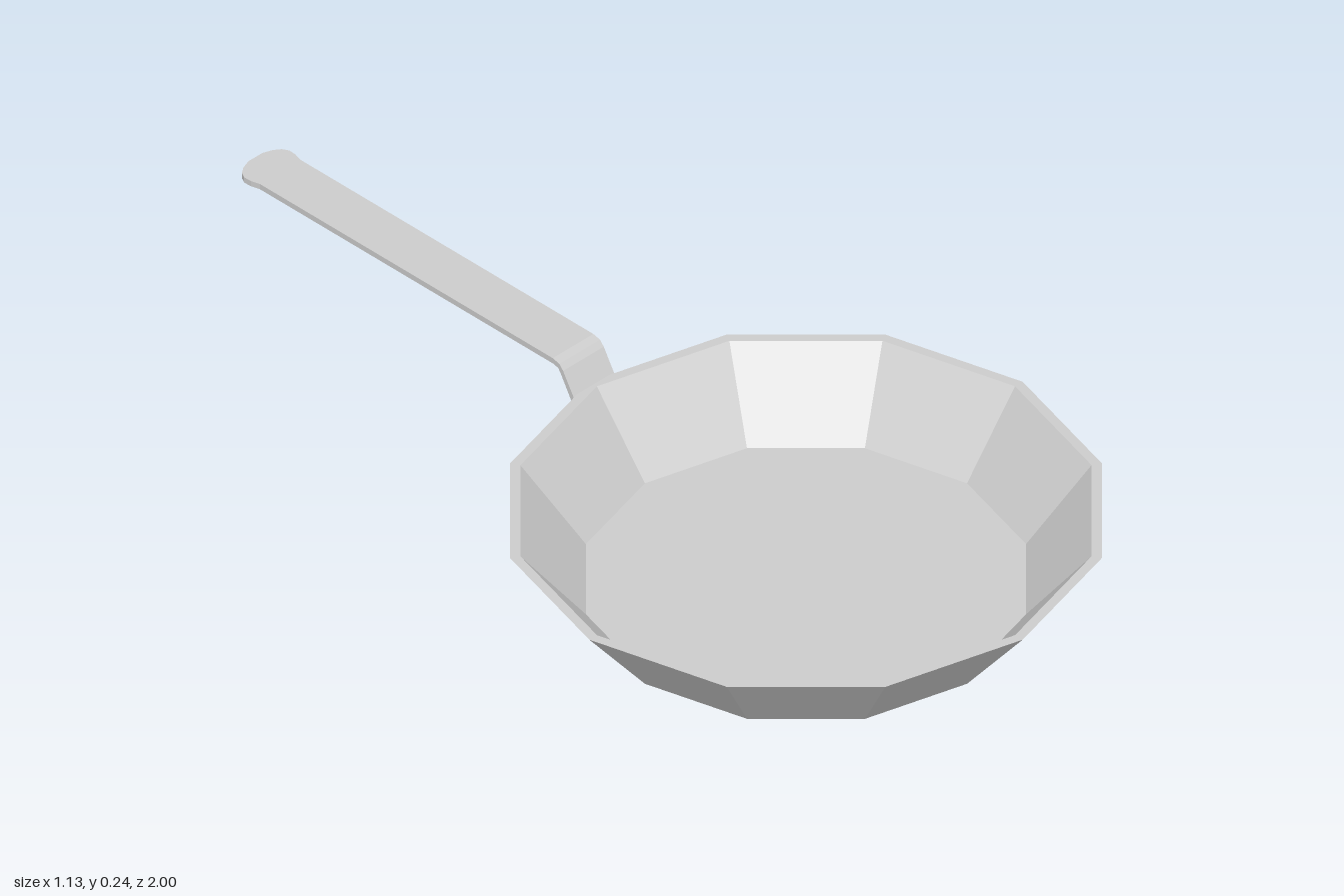
import * as THREE from 'three';

const steel = new THREE.MeshStandardMaterial({ color: 0xcccccc, flatShading: true });
steel.name = 'light steel';

const HALF_WIDTH = 0.053;
const HANDLE_TOP = 0.237;
const THICKNESS = 0.012;
const END_START = 0.935;

function part(name, geometry) {
  const mesh = new THREE.Mesh(geometry, steel);
  mesh.name = name;
  return mesh;
}

function extrude(points, depth) {
  const shape = new THREE.Shape(points.map(([x, y]) => new THREE.Vector2(x, y)));
  return new THREE.ExtrudeGeometry(shape, { depth, bevelEnabled: false });
}

export function createModel() {
  const group = new THREE.Group();
  group.name = 'fryingPan';

  // Twelve-sided pan with sloping walls and a narrow flat rim
  const profile = [[0, 0], [0.42, 0], [0.565, 0.177], [0.545, 0.177], [0.42, 0.02], [0, 0.02]];
  const pan = part('pan', new THREE.LatheGeometry(profile.map(([r, y]) => new THREE.Vector2(r, y)), 12));
  pan.position.z = 0.435;
  group.add(pan);

  // Bent strip: side profile as (z, y), extruded across x
  const low = HANDLE_TOP - THICKNESS;
  const strip = extrude([
    [-0.029, 0.025], [-0.145, 0.222], [-0.155, 0.233], [-0.172, HANDLE_TOP],
    [-END_START, HANDLE_TOP], [-END_START, low],
    [-0.17, low], [-0.158, 0.222], [-0.152, 0.214], [-0.04, 0.019],
  ].reverse(), HALF_WIDTH * 2);
  strip.translate(0, 0, -HALF_WIDTH).rotateY(-Math.PI / 2);
  group.add(part('handle', strip));

  // Slightly flared, rounded end of the handle
  const side = [
    [HALF_WIDTH, END_START], [0.058, 0.953], [0.059, 0.97],
    [0.052, 0.983], [0.038, 0.993], [0.018, 1],
  ];
  const mirrored = side.map(([x, y]) => [-x, y]).reverse();
  const end = extrude([...side, ...mirrored], THICKNESS);
  end.rotateX(-Math.PI / 2).translate(0, low, 0);
  group.add(part('handleEnd', end));

  return group;
}
